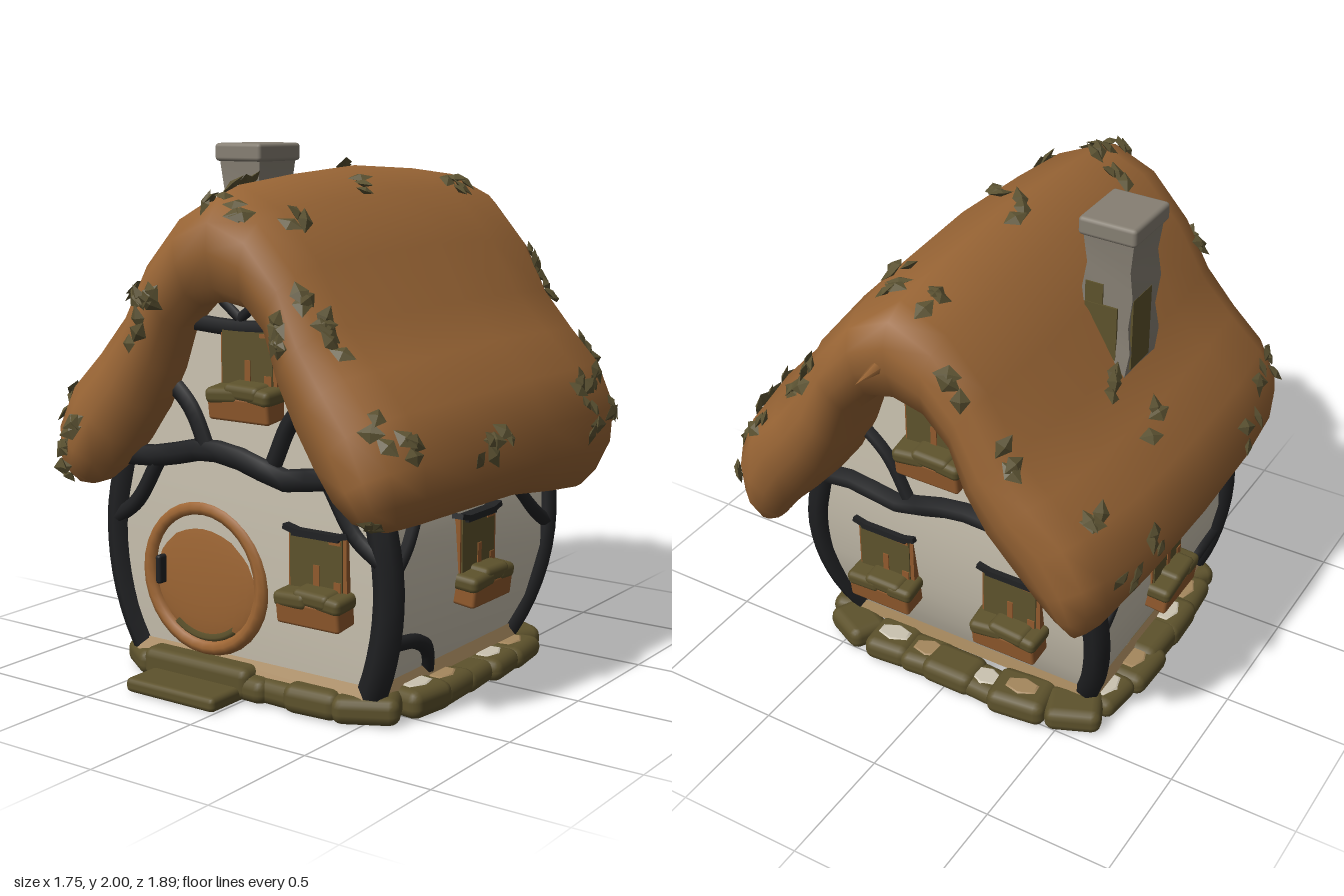
import * as THREE from 'three';
import { toCreasedNormals } from 'three/addons/utils/BufferGeometryUtils.js';
import { RoundedBoxGeometry } from 'three/addons/geometries/RoundedBoxGeometry.js';

const mat = (name, color, extra = {}) => {
  const m = new THREE.MeshStandardMaterial({ color, ...extra });
  m.name = name;
  return m;
};
const M = {
  thatch: mat('thatch', 0x996535),
  plaster: mat('plaster', 0xcbc3b1, { side: THREE.DoubleSide }),
  timber: mat('timber', 0x202123),
  door: mat('doorWood', 0x9e6634),
  wood: mat('wood', 0x915a2d),
  moss: mat('moss', 0x5d522c),
  leaf: mat('leaf', 0x5b5232, { flatShading: true }),
  stone: mat('stone', 0x867f73),
  dirt: mat('dirt', 0xa5875d, { side: THREE.DoubleSide }),
};
const V = (x, y, z) => new THREE.Vector3(x, y, z);
let seed = 7;
const rnd = () => (seed = (seed * 16807) % 2147483647) / 2147483647;
const jit = s => (rnd() - .5) * s;
const { lerp, smoothstep } = THREE.MathUtils;

function add(parent, name, geo, m, x = 0, y = 0, z = 0) {
  const mesh = new THREE.Mesh(geo, m);
  mesh.name = name;
  mesh.position.set(x, y, z);
  parent.add(mesh);
  return mesh;
}
const box = (w, h, d) => new THREE.BoxGeometry(w, h, d);
const soft = (w, h, d, r) => new RoundedBoxGeometry(w, h, d, 2, r);

// Skin over rows of closed rings
function loft(rows) {
  const n = rows[0].length, idx = [];
  for (let r = 0; r < rows.length - 1; r++) for (let c = 0; c < n; c++) {
    const a = r * n + c, b = r * n + (c + 1) % n;
    idx.push(a, b, a + n, b, b + n, a + n);
  }
  const g = new THREE.BufferGeometry().setFromPoints(rows.flat());
  g.setIndex(idx);
  g.computeVertexNormals();
  return g;
}

// Wall outline by height: y, half width, front z, back z
const WALL = [[.08, .53, .63, -.33], [.25, .6, .65, -.41], [.45, .635, .66, -.46], [.65, .62, .67, -.49],
  [.82, .585, .67, -.5], [1, .5, .67, -.5], [1.2, .42, .67, -.5], [1.4, .34, .67, -.5], [1.58, .18, .67, -.5]];
function wallAt(y) {
  let i = 0;
  while (i < WALL.length - 2 && y > WALL[i + 1][0]) i++;
  const k = (y - WALL[i][0]) / (WALL[i + 1][0] - WALL[i][0]);
  return [1, 2, 3].map(j => lerp(WALL[i][j], WALL[i + 1][j], k));
}
function wallRing(y, e = 0) {
  const [w0, f0, b0] = wallAt(y), w = w0 + e, f = f0 + e, b = b0 - e, c = .05;
  return [[-w + c, f], [w - c, f], [w, f - c], [w, b + c], [w - c, b], [-w + c, b], [-w, b + c], [-w, f - c]]
    .map(([x, z]) => V(x, y, z));
}

// Thatch: half gable stations (outer x, y, inner x, y, front and back length) and the section (z, depth)
const GABLE = [[0, 1.92, 0, 1.47, .99, 1], [.2, 1.83, .12, 1.45, .99, 1], [.38, 1.64, .22, 1.36, .99, 1],
  [.5, 1.44, .28, 1.2, 1, 1], [.64, 1.3, .36, 1.05, 1.01, .99], [.78, 1.17, .46, .92, 1.03, .97],
  [.855, 1, .55, .83, 1.04, .96], [.84, .85, .62, .75, 1.01, .93], [.77, .72, .66, .69, .94, .86], [.71, .66, .68, .66, .86, .76]];
const SECTION = [[-.7, .88], [-.4, .95], [0, 1], [.4, .95], [.7, .89], [.82, .79], [.88, .62], [.89, .4], [.86, .12],
  [.78, 0], [.3, .05], [-.45, -.04], [-.68, 0], [-.77, .12], [-.81, .38], [-.82, .6], [-.78, .78]];
function roofPoint(a, b) {
  const s = Math.abs(a), i = Math.min(8, Math.floor(s)), n = SECTION.length, j = Math.floor(b);
  const G = GABLE[i].map((v, k) => lerp(v, GABLE[i + 1][k], s - i));
  const [z0, t] = SECTION[j % n].map((v, k) => lerp(v, SECTION[(j + 1) % n][k], b - j));
  const z = z0 * (z0 > 0 ? G[4] : G[5]);
  // The eave hangs lowest near the back
  const lift = .08 * smoothstep(z, -.65, .15) * smoothstep(s, 6, 9);
  const narrow = 1 - (z > 0 ? .08 : .16) * (z / .9) ** 4;
  return V(Math.sign(a) * lerp(G[2], G[0], t) * narrow, lerp(G[3], G[1], t) + lift, z);
}

function roof(root) {
  const g = new THREE.Group();
  g.name = 'roof';
  root.add(g);
  const rows = [];
  for (let a = -9; a <= 9; a++) rows.push(SECTION.map((_, b) => roofPoint(a, b)));
  add(g, 'thatch', loft(rows), M.thatch);
  const spike = add(g, 'ridgeSpike', new THREE.ConeGeometry(.03, .16, 5), M.thatch, .035, 1.65, -.85);
  spike.rotation.x = -Math.PI / 2;
  // Leaf tufts, placed by station and section index
  const tufts = [[-5, .2], [-1.6, 16], [-.5, .2], [.4, .4], [.8, .7], [2.3, 16], [4.5, 16.3], [5.2, .5], [5.4, 1.2],
    [-4.3, 1.7], [-3.2, 1.5], [-.2, 2], [.7, 2.4], [6, 3], [-6, 3], [-5.5, 3.7], [-5.5, 4.5], [-.8, 3.6], [-.3, 3.8],
    [1, 4], [-2.3, 5], [2.3, 5], [2.8, 4.8], [3.3, 4.9], [5.2, 5], [5.6, 4.2], [5.7, 2.8], [5.7, 1], [6.3, .9],
    [6, .2], [6.2, 16], [2.6, 16.5], [3.1, 16.5], [-2.7, 7], [-2, 7], [-2.4, 6.3], [2.3, 6.5], [2.9, 7], [-6, 6.5],
    [-5.3, 6.4], [-7, 6.6], [7.3, 6.5], [0, 5], [.6, 5], [-6, 1], [-6.4, .4], [-3, 16.5]];
  const leaf = new THREE.OctahedronGeometry(1).scale(.035, .05, .014);
  for (const [a, b] of tufts) for (let k = 0; k < 3; k++) {
    const u = a + jit(.6), v = Math.max(0, b + jit(.4));
    const p = roofPoint(u, v), du = roofPoint(u + .05, v).sub(p), dv = roofPoint(u, v + .05).sub(p);
    const normal = dv.clone().cross(du).normalize();
    const dir = du.normalize().multiplyScalar(jit(2)).addScaledVector(dv.normalize(), jit(2))
      .normalize().addScaledVector(normal, .3).normalize();
    const side = dir.clone().cross(normal).normalize();
    const m = add(g, 'leaf', leaf, M.leaf);
    m.quaternion.setFromRotationMatrix(new THREE.Matrix4().makeBasis(side, dir, side.clone().cross(dir)));
    m.position.copy(p).addScaledVector(normal, .014);
  }
}

// Window with planter, facing +z before turning
function windowUnit(root, x, y, z, turn, lintel = true) {
  const g = new THREE.Group();
  g.name = 'window';
  g.position.set(x, y, z);
  g.rotation.y = turn;
  root.add(g);
  add(g, 'frame', box(.25, .22, .04), M.wood, 0, .21, 0);
  add(g, 'pane', box(.225, .21, .05), M.moss, -.004, .213, 0);
  for (const [px, py, w, h] of [[0, .17, .025, .08], [.09, .14, .03, .04], [.08, .3, .05, .015]])
    add(g, 'paneChip', box(w, h, .006), M.wood, px, py, .026);
  if (lintel) {
    add(g, 'lintel', box(.2, .025, .06), M.timber, 0, .318, .01);
    for (const s of [-1, 1]) add(g, 'lintelEnd', box(.08, .02, .06), M.timber, s * .1, .324, .01).rotation.z = s * .25;
  }
  const planter = add(g, 'planter', soft(.27, .09, .11, .012), M.wood, 0, .045, .035);
  planter.rotation.x = .12;
  // Moss heap of three lumps
  for (const [px, py, w] of [[-.07, .09, .15], [.02, .105, .16], [.09, .095, .11]]) {
    const lump = add(g, 'planterMoss', soft(w, .06, .13, .022), M.moss, px, py, .035);
    lump.rotation.set(.1, jit(.2), -px);
  }
}

function timbers(root) {
  const tube = (name, pts, r) =>
    add(root, name, new THREE.TubeGeometry(new THREE.CatmullRomCurve3(pts), 12, r, 7), M.timber);
  const front = (name, pts, r) => tube(name, pts.map(([x, y]) => V(x, y, wallAt(y)[1])), r);
  const back = (name, pts, r) => tube(name, pts.map(([x, y]) => V(x, y, wallAt(y)[2])), r);
  const ys = [.06, .2, .35, .5, .65, .84];
  for (const s of [-1, 1]) {
    const at = (y, k) => { const w = wallAt(y); return V(s * (w[0] - .015), y, k ? w[2] + .02 : w[1] - .025); };
    tube('frontPost', ys.map(y => at(y, 0)), .057);
    tube('backPost', ys.map(y => at(y, 1)), .052);
    const side = (pts, r) => tube('sideBrace', pts.map(([z, y]) => V(s * wallAt(y)[0], y, z)), r);
    side([[.64, .55], [.54, .64], [.42, .78]], .03);
    side([[-.46, .52], [-.34, .6], [-.18, .76]], .03);
    side([[.62, .3], [.45, .27], [.35, .21], [.27, .08]], .03);
    front('lowerBrace', [[s * .61, .6], [s * .5, .68], [s * .39, .85]], .032);
    front('upperBrace', [[s * .36, 1.18], [s * .23, 1.06], [s * .15, .9]], .035);
    back('upperBrace', [[s * .4, 1.18], [s * .25, 1.05], [s * .16, .88]], .03);
    front('crownBrace', [[0, 1.4], [s * .13, 1.5]], .02);
  }
  for (const put of [front, back]) {
    put('crossBeam', [[-.62, .85], [-.4, .86], [-.16, .91], [.02, .89], [.2, .84], [.4, .87], [.62, .84]], .045);
    put('collarBeam', [[-.3, 1.38], [0, 1.365], [.3, 1.38]], .033);
  }
}

function door(root) {
  const g = new THREE.Group();
  g.name = 'roundDoor';
  g.position.set(-.21, .42, .645);
  root.add(g);
  add(g, 'doorRing', new THREE.TorusGeometry(.265, .03, 8, 32), M.door, 0, 0, .01);
  add(g, 'doorPanel', new THREE.SphereGeometry(.26, 28, 10), M.door).scale.z = .13;
  add(g, 'doorHandle', soft(.025, .11, .05, .01), M.timber, -.195, .01, .035);
  add(g, 'doorMoss', new THREE.TorusGeometry(.225, .014, 4, 12, 1.3), M.moss, 0, 0, .02).rotation.z = -2.2;
}

// Ring of uneven stones around a rounded rectangle
function foundation(root) {
  const g = new THREE.Group();
  g.name = 'foundation';
  root.add(g);
  const edge = a => {
    const c = Math.cos(a), s = Math.sin(a), r = (Math.abs(c / .585) ** 7 + Math.abs(s / .535) ** 7) ** (-1 / 7);
    return [c * r - .02, s * r + .09];
  };
  const count = 24;
  for (let i = 0; i < count; i++) {
    const a = i / count * Math.PI * 2, [x, z] = edge(a), [x2, z2] = edge(a + .05), [x0, z0] = edge(a - .05);
    const h = .085 + rnd() * .025, turn = Math.atan2(z0 - z2, x2 - x0) + jit(.25);
    const s = add(g, 'baseStone', soft(.2 + rnd() * .05, h, .16 + rnd() * .04, .04), M.moss, x + jit(.02), h / 2, z + jit(.02));
    s.rotation.y = turn;
    if (i % 3 && z < .55) {
      const top = add(s, 'paleTop', new THREE.CylinderGeometry(.045, .055, .006, 6), i % 3 > 1 ? M.plaster : M.dirt, 0, h / 2 + .001, 0);
      top.scale.set(1.4, 1, .9);
    }
  }
  // Doorstep slabs
  add(g, 'doorstep', soft(.42, .055, .2, .02), M.moss, -.21, .028, .78);
  add(g, 'threshold', soft(.5, .12, .12, .035), M.moss, -.22, .065, .67);
}

function chimney(root) {
  const g = new THREE.Group();
  g.name = 'chimney';
  g.position.set(-.445, 0, .025);
  root.add(g);
  const rows = [[1.15, .1, .13], [1.4, .085, .12], [1.5, .1, .115], [1.6, .085, .105], [1.72, .1, .11], [1.82, .085, .105], [1.95, .1, .115]]
    .map(([y, w, d]) => [[-w, d], [w, d], [w, -d], [-w, -d]].map(([x, z]) => V(x, y, z)));
  add(g, 'shaft', toCreasedNormals(loft(rows), .7), M.stone);
  add(g, 'cap', soft(.225, .07, .265, .015), M.stone, 0, 1.965, 0);
  for (const s of [-1, 1]) {
    add(g, 'shaftMoss', box(.13, .22, .008), M.moss, .02, 1.56, s * .113);
    add(g, 'shaftMoss', box(.008, .28, .14), M.moss, s * .096, 1.57, -.03);
    add(g, 'shaftMoss', box(.07, .12, .008), M.moss, .05, 1.69, s * .11);
  }
}

export function createModel() {
  const root = new THREE.Group();
  root.name = 'cottage';
  const body = new THREE.Group();
  body.name = 'body';
  body.position.x = -.02;
  root.add(body);
  add(body, 'walls', toCreasedNormals(loft(WALL.map(r => wallRing(r[0]))), .6), M.plaster);
  add(body, 'dirtBand', toCreasedNormals(loft([wallRing(.09, .04), wallRing(.138, .004)]), .6), M.dirt);
  timbers(body);
  door(root);
  foundation(root);
  chimney(root);
  roof(root);
  // Windows on every side
  windowUnit(root, .325, .35, .665, 0);
  windowUnit(root, .035, 1.05, .675, 0, false);
  for (const s of [-1, 1]) {
    windowUnit(body, s * .62, .35, .09, s * Math.PI / 2);
    windowUnit(body, s * .28, .35, -.475, Math.PI);
  }
  windowUnit(root, 0, 1.05, -.505, Math.PI, false);
  return root;
}
